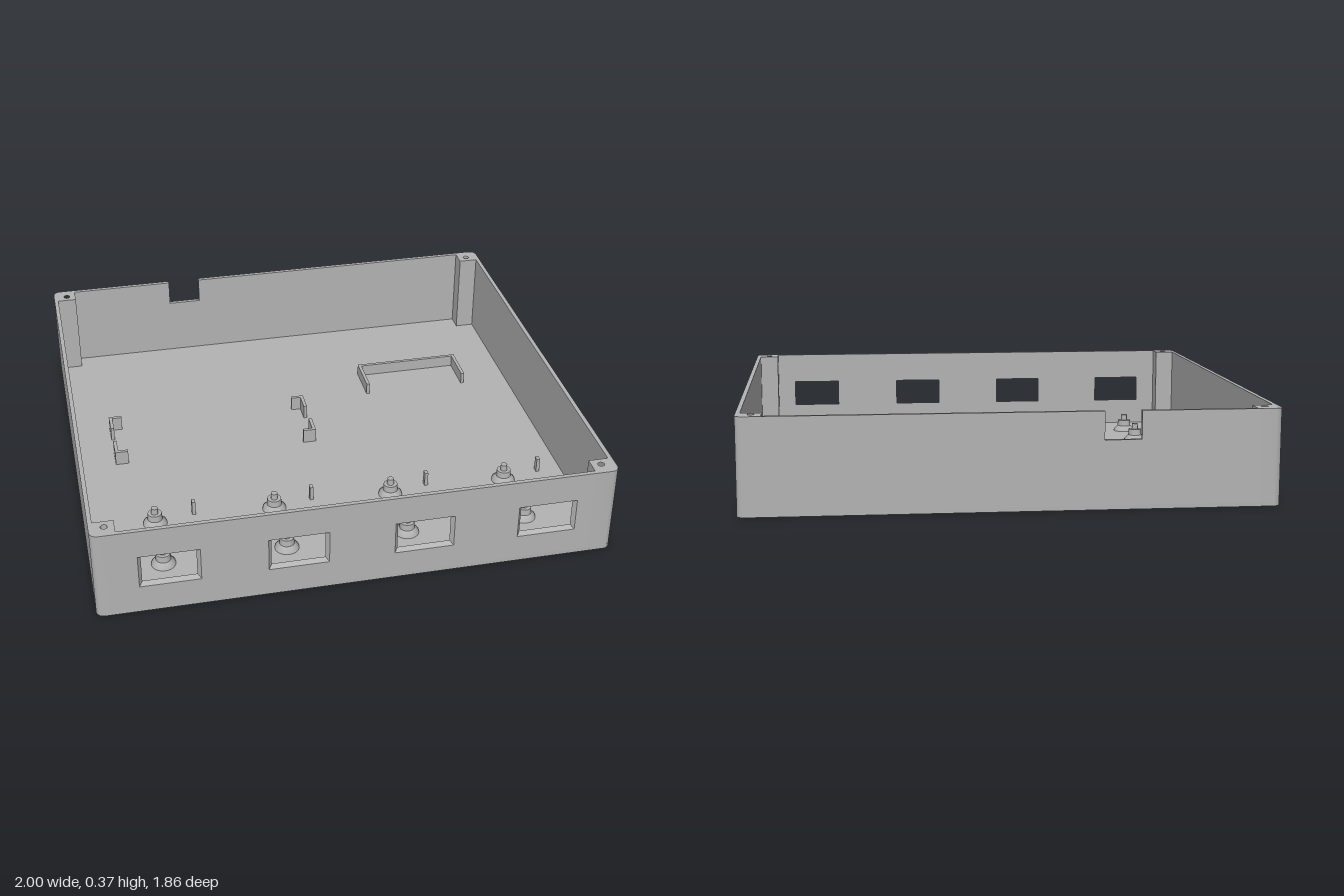
import * as THREE from 'three';
import { toCreasedNormals } from 'three/addons/utils/BufferGeometryUtils.js';

const W = 1, D = 0.932, H = 0.367;      // half width, half depth, height
const T = 0.017, FLOOR = 0.016;         // wall and floor thickness
const POST_X = 0.905, POST_Z = 0.845;   // inner faces of the corner posts
const R = 0.03;                         // vertical corner radius
const COLUMNS = [-0.721, -0.239, 0.243, 0.725];

const plastic = new THREE.MeshStandardMaterial({ color: 0xb3b3b3 });
plastic.name = 'greyPlastic';

export function createModel() {
  const model = new THREE.Group();
  model.name = 'openEnclosure';

  const add = (name, geometry, x = 0, y = 0, z = 0) => {
    const mesh = new THREE.Mesh(geometry, plastic);
    mesh.name = name;
    mesh.position.set(x, y, z);
    model.add(mesh);
    return mesh;
  };
  // box given by its x and z limits, standing on y0
  const block = (name, x0, x1, z0, z1, y0, h) =>
    add(name, new THREE.BoxGeometry(x1 - x0, h, z1 - z0), (x0 + x1) / 2, y0 + h / 2, (z0 + z1) / 2);
  // plan shape (shape y = -z) raised to a height
  const raise = (shape, h) => toCreasedNormals(
    new THREE.ExtrudeGeometry(shape, { depth: h, bevelEnabled: false, curveSegments: 10 }).rotateX(-Math.PI / 2), 0.6);
  const rectPath = (path, x0, y0, x1, y1) =>
    path.moveTo(x0, y0).lineTo(x1, y0).lineTo(x1, y1).lineTo(x0, y1).closePath();

  // floor with rounded corners
  const plan = new THREE.Shape();
  plan.moveTo(-W + R, -D).lineTo(W - R, -D);
  plan.absarc(W - R, -D + R, R, -Math.PI / 2, 0, false);
  plan.absarc(W - R, D - R, R, 0, Math.PI / 2, false);
  plan.absarc(-W + R, D - R, R, Math.PI / 2, Math.PI, false);
  plan.absarc(-W + R, -D + R, R, Math.PI, Math.PI * 1.5, false);
  add('floor', raise(plan, FLOOR));

  // corner posts with screw holes
  for (const sx of [-1, 1]) {
    for (const sz of [-1, 1]) {
      const s = new THREE.Shape();
      s.moveTo(sx * POST_X, sz * POST_Z);
      s.lineTo(sx * W, sz * POST_Z).lineTo(sx * W, sz * (D - R));
      for (let i = 1; i <= 8; i++) {
        const a = (i / 8) * Math.PI / 2;
        s.lineTo(sx * (W - R + R * Math.cos(a)), sz * (D - R + R * Math.sin(a)));
      }
      s.lineTo(sx * POST_X, sz * D).closePath();
      const hole = new THREE.Path();
      hole.absarc(sx * 0.943, sz * 0.878, 0.013, 0, Math.PI * 2, true);
      s.holes.push(hole);
      add('cornerPost', raise(s, H - FLOOR), 0, FLOOR);
    }
  }

  // side walls
  block('leftWall', W - T, W, -POST_Z, POST_Z, FLOOR, H - FLOOR);
  block('rightWall', -W, -W + T, -POST_Z, POST_Z, FLOOR, H - FLOOR);

  // back wall with a cable notch in its top edge
  const back = new THREE.Shape();
  back.moveTo(-POST_X, FLOOR).lineTo(POST_X, FLOOR).lineTo(POST_X, H);
  back.lineTo(-0.335, H).lineTo(-0.335, 0.26).lineTo(-0.472, 0.26).lineTo(-0.472, H);
  back.lineTo(-POST_X, H).closePath();
  add('backWall', new THREE.ExtrudeGeometry(back, { depth: T, bevelEnabled: false }), 0, 0, -D);

  // front wall with four windows that narrow towards the inside
  const hw = 0.115, hh = 0.068, cy = 0.183, slope = 0.013;
  const front = rectPath(new THREE.Shape(), -POST_X, FLOOR, POST_X, H);
  for (const x of COLUMNS) {
    front.holes.push(rectPath(new THREE.Path(), x - hw, cy - hh, x + hw, cy + hh));
  }
  const frontGeo = new THREE.ExtrudeGeometry(front, { depth: T, bevelEnabled: false });
  const p = frontGeo.attributes.position;
  for (let i = 0; i < p.count; i++) {
    const x = p.getX(i), y = p.getY(i);
    if (p.getZ(i) > T / 2 || Math.abs(x) > POST_X - 0.01) continue;
    const c = COLUMNS.find((v) => Math.abs(x - v) < hw + 0.01);
    p.setXY(i, x - Math.sign(x - c) * slope, y - Math.sign(y - cy) * slope);
  }
  frontGeo.computeVertexNormals();
  add('frontWall', frontGeo, 0, 0, D - T);

  // flared standoffs with a locating pin, and a small stop beside each pair
  const profile = [[0.048, 0], [0.046, 0.008], [0.03, 0.024], [0.028, 0.05], [0.014, 0.05], [0.013, 0.075], [0, 0.075]]
    .map(([r, y]) => new THREE.Vector2(r, y));
  const standoff = toCreasedNormals(new THREE.LatheGeometry(profile, 24), 0.6);
  for (const x of COLUMNS) {
    for (const z of [0.428, 0.688]) add('standoff', standoff, x, FLOOR, z);
    block('boardStop', x + 0.152, x + 0.166, 0.381, 0.404, FLOOR, 0.06);
  }

  // four L-shaped brackets around a board
  const t = 0.014;
  for (const [x, sx] of [[-0.832, 1], [0.027, -1]]) {
    for (const [z, sz] of [[-0.288, 1], [-0.01, -1]]) {
      const span = (a, s, len) => (s > 0 ? [a, a + len] : [a - len, a]);
      block('bracketLong', ...span(x, sx, t), ...span(z, sz, 0.09), FLOOR, 0.06);
      block('bracketShort', ...span(x + sx * t, sx, 0.04), ...span(z, sz, t), FLOOR, 0.06);
    }
  }

  // three-sided holder, open to the front
  block('holderBack', 0.331, 0.787, -0.508, -0.508 + t, FLOOR, 0.05);
  block('holderSide', 0.331, 0.331 + t, -0.508 + t, -0.335, FLOOR, 0.05);
  block('holderSide', 0.787 - t, 0.787, -0.508 + t, -0.335, FLOOR, 0.05);

  return model;
}
